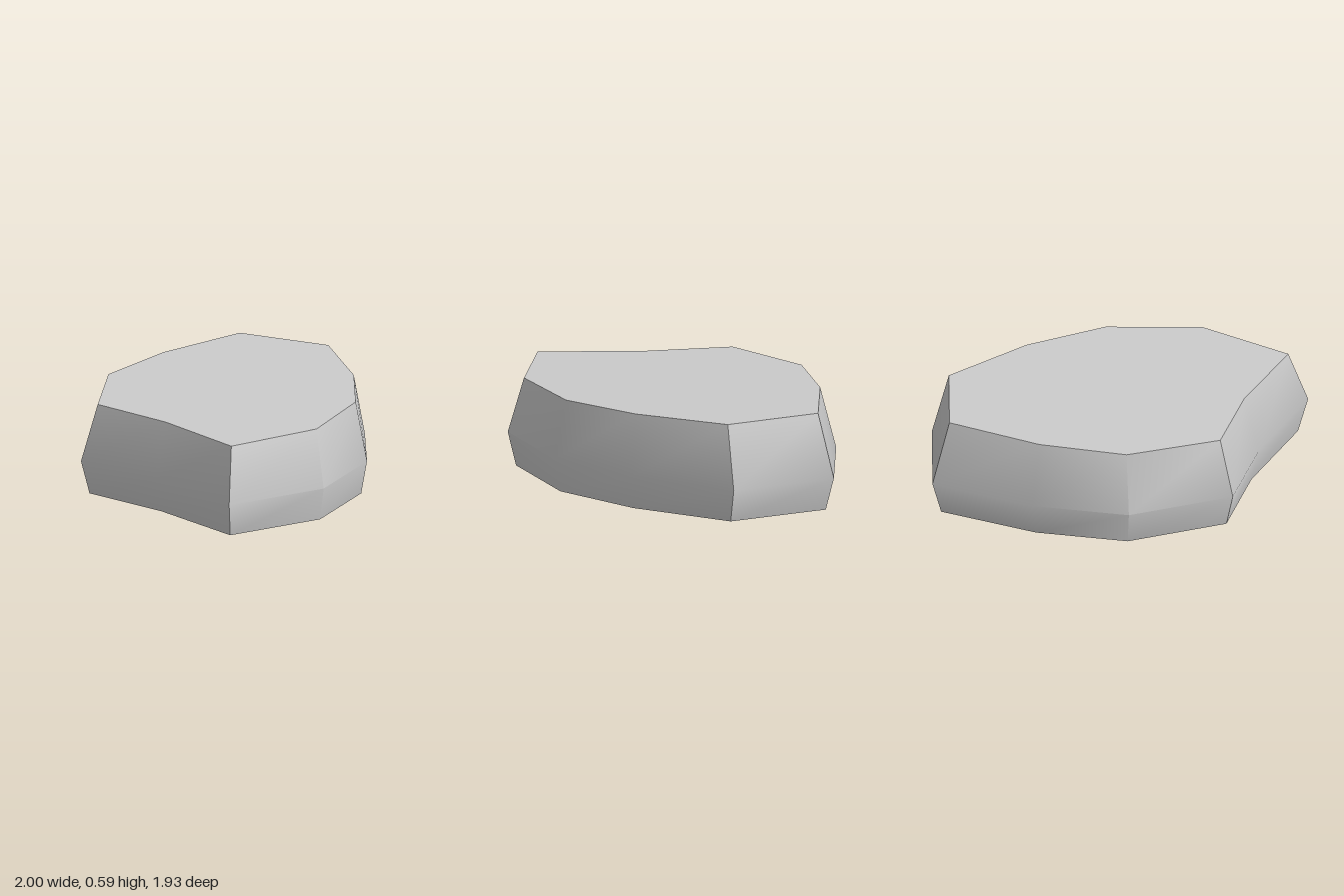
import * as THREE from 'three';
import { toCreasedNormals } from 'three/addons/utils/BufferGeometryUtils.js';

// Widest outline of the stone (x, z), clockwise seen from above
const outline = [
  [-0.97, -0.47], [-0.457, -0.89], [0.127, -0.97], [0.78, -0.907], [0.997, -0.29],
  [0.655, 0.3], [0.25, 0.73], [-0.345, 0.965], [-1, 0.825], [-0.93, 0.13],
];

// Gently tilted top plane
const topHeight = (x, z) => 0.566 + 0.024 * x - 0.01 * z;

// Cross-sections from bottom to top: outline scale and height rule
const sections = [
  { scale: 0.95, height: () => 0 },
  { scale: 1, height: () => 0.205 },
  { scale: 0.902, height: topHeight },
];

function stoneGeometry() {
  const n = outline.length;
  const positions = [];
  const index = [];
  for (const { scale, height } of sections) {
    for (const [px, pz] of outline) {
      const x = px * scale, z = pz * scale;
      positions.push(x, height(x, z), z);
    }
  }
  // Centres of the bottom and top caps
  const bottom = positions.length / 3;
  const top = bottom + 1;
  positions.push(0, 0, 0, 0, topHeight(0, 0), 0);

  const last = (sections.length - 1) * n;
  for (let i = 0; i < n; i++) {
    const j = (i + 1) % n;
    // Side walls
    for (let s = 0; s < last; s += n) {
      index.push(s + j, s + i, s + n + i, s + j, s + n + i, s + n + j);
    }
    // Caps
    index.push(bottom, i, j, top, last + j, last + i);
  }
  const geometry = new THREE.BufferGeometry();
  geometry.setAttribute('position', new THREE.Float32BufferAttribute(positions, 3));
  geometry.setIndex(index);
  return toCreasedNormals(geometry, THREE.MathUtils.degToRad(42));
}

export function createModel() {
  const group = new THREE.Group();
  group.name = 'stone';
  const slab = new THREE.Mesh(stoneGeometry(), new THREE.MeshStandardMaterial({ color: 0xcccccc }));
  slab.name = 'stoneSlab';
  group.add(slab);
  return group;
}
